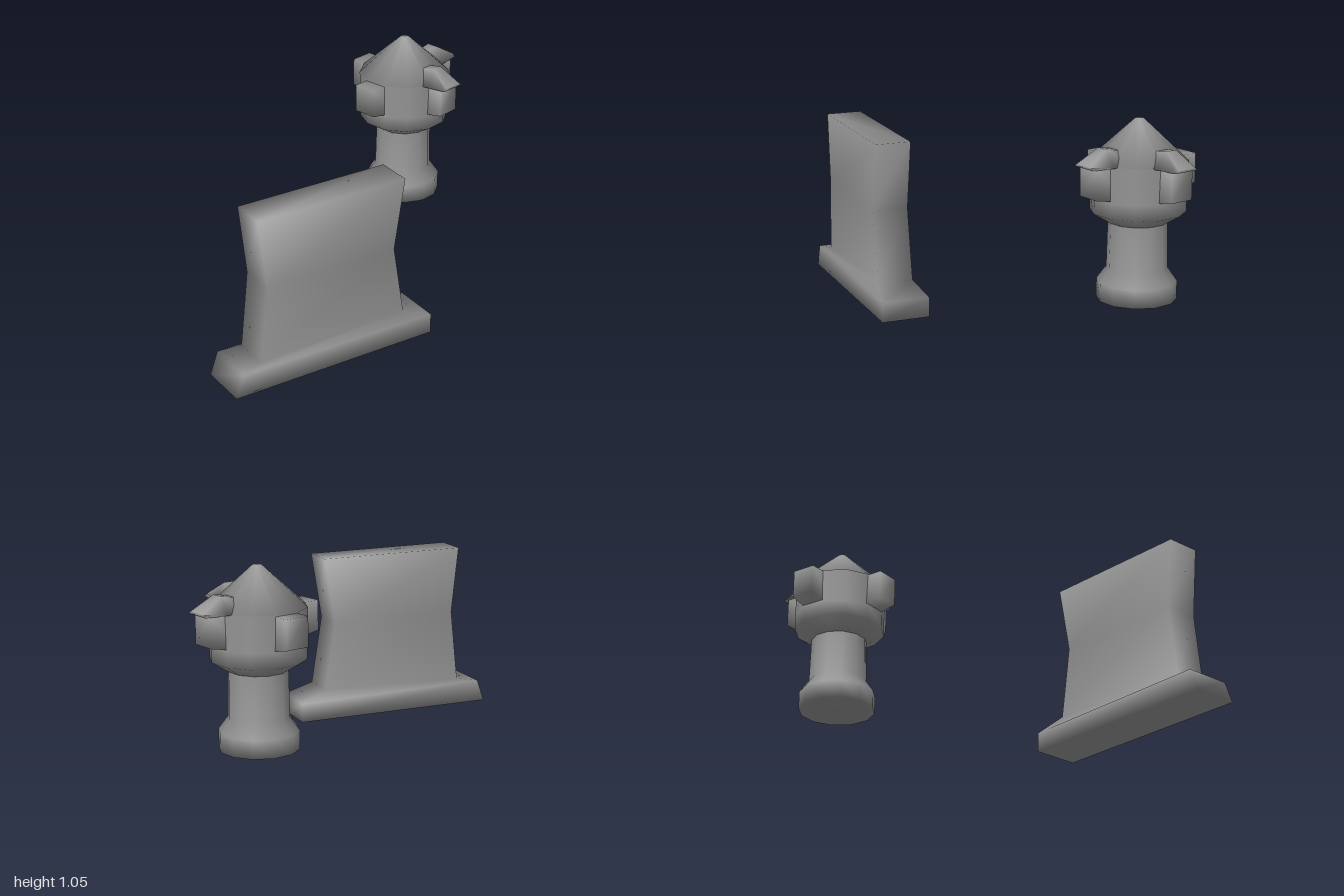
import * as THREE from 'three';

const stone = new THREE.MeshStandardMaterial({ color: 0x959595 });
stone.name = 'grey stone';

// Skin a list of equal-length point rings, with both ends capped and soft shared normals
function loft(rings) {
  const n = rings[0].length, last = (rings.length - 1) * n, index = [];
  for (let i = 0; i < rings.length - 1; i++) {
    for (let j = 0; j < n; j++) {
      const a = i * n + j, b = i * n + (j + 1) % n;
      index.push(a, b, b + n, a, b + n, a + n);
    }
  }
  for (let j = 1; j < n - 1; j++) {
    index.push(0, j + 1, j, last, last + j, last + j + 1);
  }
  const g = new THREE.BufferGeometry();
  g.setAttribute('position', new THREE.Float32BufferAttribute(rings.flat(2), 3));
  g.setIndex(index);
  g.computeVertexNormals();
  return g;
}

function add(parent, name, geometry) {
  const mesh = new THREE.Mesh(geometry, stone);
  mesh.name = name;
  parent.add(mesh);
  return mesh;
}

// Round part of the tower from [radius, height] pairs
function turned(profile) {
  return new THREE.LatheGeometry(profile.map(([r, y]) => new THREE.Vector2(r, y)), 12);
}

export function createModel() {
  const model = new THREE.Group();
  model.name = 'wallAndTower';

  // Wall: x range, height at each end, z range
  const slab = (x0, x1, y0, y1, z0, z1) =>
    [[x0, y0, z1], [x1, y1, z1], [x1, y1, z0], [x0, y0, z0]];
  add(model, 'wall', loft([
    slab(-1, 0.085, 0, 0, 0.45, 0.695),
    slab(-0.96, 0.085, 0.115, 0.1, 0.45, 0.695),
    slab(-0.85, -0.06, 0.13, 0.155, 0.485, 0.665),
    slab(-0.81, -0.12, 0.51, 0.51, 0.485, 0.67),
    slab(-0.85, -0.06, 0.86, 0.86, 0.485, 0.665),
  ]));

  // Tower
  const tower = new THREE.Group();
  tower.name = 'tower';
  tower.position.set(0.665, 0, -0.395);
  model.add(tower);
  add(tower, 'shaft', turned([[0, 0.17], [0.193, 0.17], [0.193, 0.26], [0.147, 0.325], [0.142, 0.56]]));
  add(tower, 'head', turned([[0.14, 0.55], [0.23, 0.605], [0.23, 0.68], [0.235, 0.855]]));
  add(tower, 'roof', turned([[0, 0.852], [0.235, 0.852], [0.022, 1.048], [0, 1.05]]));

  // Four bays around the head; the front and left ones carry small hoods
  const bayRing = (w, y0, y1, z) => [[-w, y0, z], [w, y0, z], [w, y1, z], [-w, y1, z]];
  const bay = loft([bayRing(0.062, 0.67, 0.85, 0.12), bayRing(0.062, 0.705, 0.85, 0.305)]);
  const hoodRing = (w, ridge, top, z) =>
    [[-w, 0.853, z], [w, 0.853, z], [ridge, top, z], [-ridge, top, z]];
  const hood = loft([
    hoodRing(0.1, 0.03, 0.915, 0.12),
    hoodRing(0.09, 0.03, 0.932, 0.225),
    hoodRing(0.068, 0.05, 0.866, 0.335),
  ]);
  ['front', 'left', 'back', 'right'].forEach((side, i) => {
    const angle = THREE.MathUtils.degToRad(14 + 90 * i);
    add(tower, side + 'Bay', bay).rotation.y = angle;
    if (i < 2) add(tower, side + 'Hood', hood).rotation.y = angle;
  });

  return model;
}
